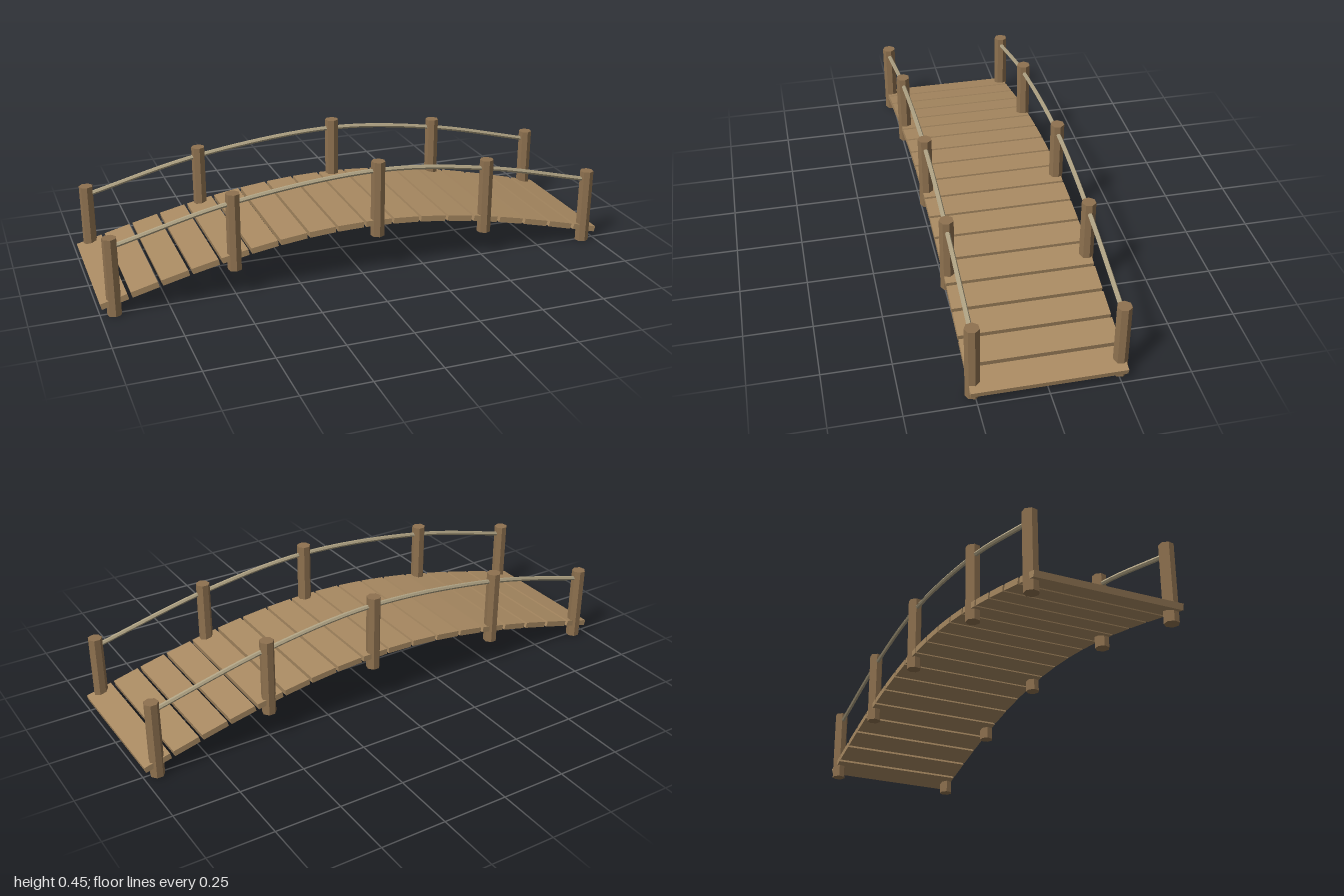
import * as THREE from 'three';

const PLANKS = 18, PITCH = 0.1115, START = -PITCH * (PLANKS - 1) / 2;
const SPAN = -2 * START, RISE = 0.156, BASE = 0.0555, SIDE_Z = 0.257;

// height and tilt of the arched deck at x
const deckY = x => BASE + RISE * Math.sin(Math.PI * (x - START) / SPAN);
const deckTilt = x => Math.atan(RISE * Math.PI / SPAN * Math.cos(Math.PI * (x - START) / SPAN));
const plankX = i => START + i * PITCH;

export function createModel() {
  const bridge = new THREE.Group();
  bridge.name = 'footbridge';
  const material = color => new THREE.MeshStandardMaterial({ color, flatShading: true });
  const plankMat = material(0xa98a62), postMat = material(0x8f7250), railMat = material(0xb0a384);

  const add = (name, geometry, mat, x = 0, y = 0, z = 0) => {
    const mesh = new THREE.Mesh(geometry, mat);
    mesh.name = name;
    mesh.position.set(x, y, z);
    bridge.add(mesh);
    return mesh;
  };

  // deck planks, each tilted along the arch
  const plankGeo = new THREE.BoxGeometry(0.102, 0.0225, 0.546);
  for (let i = 0; i < PLANKS; i++) {
    const x = plankX(i);
    add('plank', plankGeo, plankMat, x, deckY(x), 0).rotation.z = deckTilt(x);
  }

  // upright posts on both sides, joined by a bowed rail
  const postGeo = new THREE.CylinderGeometry(0.0268, 0.0268, 0.297, 7);
  const postXs = [0, 4, 9, 13, 17].map(plankX);
  const railCurve = new THREE.CatmullRomCurve3(
    postXs.map(x => new THREE.Vector3(x, deckY(x) + 0.205, 0)));
  const railGeo = new THREE.TubeGeometry(railCurve, 32, 0.0088, 6);
  for (const z of [SIDE_Z, -SIDE_Z]) {
    for (const x of postXs) add('post', postGeo, postMat, x, deckY(x) + 0.093, z);
    add('handrail', railGeo, railMat, 0, 0, z);
  }
  return bridge;
}
